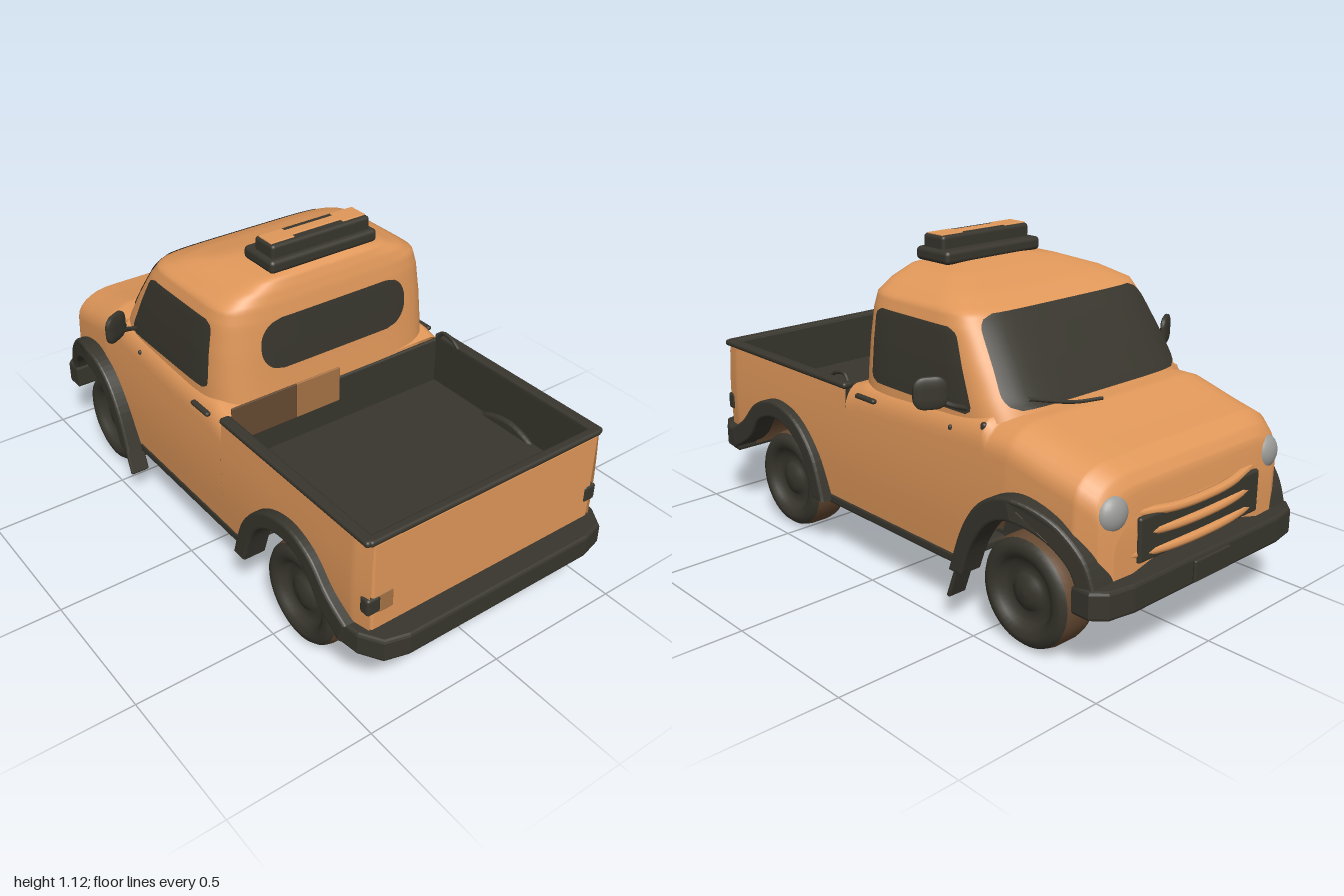
import * as THREE from 'three';
import { RoundedBoxGeometry } from 'three/addons/geometries/RoundedBoxGeometry.js';

const mat = (name, color) => new THREE.MeshStandardMaterial({ name, color, side: THREE.DoubleSide });
const paint = mat('orangePaint', 0xe1985a);
const dark = mat('darkTrim', 0x38362d);
const brown = mat('dustyBrown', 0x664a32);
const tan = mat('stainedTan', 0xa87447);
const lamp = mat('lampGrey', 0x9b9b98);

const lerp = THREE.MathUtils.lerp;
const SIDES = [1, -1];

// Linear lookup in rows of [key, value, value...]
function table(rows, k, col = 1) {
  if (k <= rows[0][0]) return rows[0][col];
  for (let i = 1; i < rows.length; i++) {
    const a = rows[i - 1], b = rows[i];
    if (k <= b[0]) return lerp(a[col], b[col], (k - a[0]) / (b[0] - a[0]));
  }
  return rows[rows.length - 1][col];
}

// Smooth surface from fn(u, v) -> [x, y, z], with u and v in 0..1
function grid(fn, nu, nv) {
  const pos = [], idx = [];
  for (let i = 0; i <= nu; i++) for (let j = 0; j <= nv; j++) {
    pos.push(...fn(i / nu, j / nv));
    if (i < nu && j < nv) {
      const a = i * (nv + 1) + j, b = a + nv + 1;
      idx.push(a, b, a + 1, b, b + 1, a + 1);
    }
  }
  const g = new THREE.BufferGeometry();
  g.setAttribute('position', new THREE.Float32BufferAttribute(pos, 3));
  g.setIndex(idx);
  g.computeVertexNormals();
  return g;
}

// Wheel arch outlines in side view, with the radius of the well behind
const ARCHES = [
  { x: -0.65, wellRadius: 0.26, spring: 0.2,
    outer: [[-0.94, 0.29], [-0.9, 0.385], [-0.8, 0.47], [-0.66, 0.503], [-0.54, 0.455], [-0.46, 0.35], [-0.4, 0.19]],
    inner: [[-0.885, 0.27], [-0.85, 0.345], [-0.77, 0.405], [-0.66, 0.43], [-0.57, 0.39], [-0.5, 0.3], [-0.455, 0.19]] },
  { x: 0.56, wellRadius: 0.235, spring: 0.27,
    outer: [[0.275, 0.19], [0.33, 0.345], [0.43, 0.45], [0.56, 0.487], [0.68, 0.45], [0.77, 0.365], [0.86, 0.31]],
    inner: [[0.335, 0.19], [0.385, 0.325], [0.46, 0.4], [0.56, 0.425], [0.66, 0.39], [0.735, 0.3], [0.84, 0.235]] },
];

// Lower body: top line, half width and bottom line, which follows the arches
const NOSE = -0.935, CAB_BACK = 0.17, TAIL = 0.915;
const topLine = [[NOSE, 0.47], [-0.925, 0.55], [-0.9, 0.59], [-0.85, 0.62], [-0.75, 0.642], [-0.6, 0.68], [-0.5, 0.68], [0.1, 0.65], [CAB_BACK, 0.63], [TAIL, 0.625]];
const widthLine = [[NOSE, 0.36], [-0.915, 0.4], [-0.85, 0.435], [-0.6, 0.455], [0.85, 0.455], [TAIL, 0.44]];
const bottomLine = ARCHES.flatMap(a => a.outer.map((p, i) => [(p[0] + a.inner[i][0]) / 2, (p[1] + a.inner[i][1]) / 2]));
const halfWidth = (x, y) => table(widthLine, x) + 0.012 * Math.sin(Math.PI * (y - 0.2) / 0.45);
const bottom = x => table(bottomLine, x);
// Half section: s runs 0 at the sill, 0.5 at the shoulder, 0.8 on top, 1 at the centre line
function section(x, s) {
  const t = table(topLine, x), b = bottom(x);
  const ry = Math.min(0.09, (t - b) * 0.5), rz = x < -0.5 ? 0.14 : 0.06;
  const w = halfWidth(x, t - ry);
  if (s < 0.5) {
    const y = lerp(b, t - ry, s / 0.5);
    return [x, y, halfWidth(x, y)];
  }
  if (s < 0.8) {
    const a = (s - 0.5) / 0.3 * Math.PI / 2;
    return [x, t - ry + ry * Math.sin(a), w - rz + rz * Math.cos(a)];
  }
  return [x, t, (w - rz) * (1 - s) / 0.2];
}
function fullSection(x, v) {
  const p = section(x, 1 - Math.abs(2 * v - 1));
  if (v > 0.5) p[2] *= -1;
  return p;
}

// Cab: rows of [height, front x, back x, half width]; each ring is a squarish superellipse
const cabRows = [[0.6, -0.6, 0.175, 0.44], [0.7, -0.545, 0.165, 0.435], [0.8, -0.48, 0.157, 0.425], [0.9, -0.41, 0.147, 0.41], [0.95, -0.37, 0.138, 0.395],
  [0.985, -0.28, 0.128, 0.34], [1.018, -0.15, 0.115, 0.25], [1.033, -0.06, 0.09, 0.14], [1.037, 0.02, 0.021, 0.001]];
function ring(y) {
  const f = table(cabRows, y, 1), b = table(cabRows, y, 2);
  return { c: (f + b) / 2, a: (b - f) / 2, w: table(cabRows, y, 3) };
}
const squircle = t => Math.pow(Math.max(0, 1 - Math.abs(t) ** 6), 1 / 6);
function cabPoint(u, v) {
  const i = v * (cabRows.length - 1), k = Math.min(Math.floor(i), cabRows.length - 2);
  const y = lerp(cabRows[k][0], cabRows[k + 1][0], i - k), r = ring(y);
  const p = t => Math.sign(t) * Math.abs(t) ** (1 / 3), a = u * Math.PI * 2;
  return [r.c + r.a * p(Math.cos(a)), y, r.w * p(Math.sin(a))];
}
// Round-cornered pane laid on the cab; edges(v) gives its two ends, place puts it on the wall
function pane(y0, y1, edges, place, r = 0.05) {
  return grid((u, v) => {
    const y = lerp(y0, y1, v), d = Math.min(y - y0, y1 - y, r);
    const inset = r - Math.sqrt(Math.max(0, r * r - (r - d) ** 2));
    const [a, b] = edges(v);
    return place(lerp(a + inset, b - inset, u), y);
  }, 20, 20);
}

export function createModel() {
  const model = new THREE.Group();
  model.name = 'pickupTruck';
  const add = (name, geo, m, x = 0, y = 0, z = 0) => {
    const mesh = new THREE.Mesh(geo, m);
    mesh.name = name;
    mesh.position.set(x, y, z);
    model.add(mesh);
    return mesh;
  };
  const box = (name, m, sx, sy, sz, x, y, z, r = 0.01) =>
    add(name, new RoundedBoxGeometry(sx, sy, sz, 3, Math.min(r, sx / 2.1, sy / 2.1, sz / 2.1)), m, x, y, z);
  const rod = (name, m, pts, r) => add(name, new THREE.TubeGeometry(
    new THREE.CatmullRomCurve3(pts.map(p => new THREE.Vector3(...p))), 20, r, 8), m);

  // Body shell
  add('frontBody', grid((u, v) => fullSection(lerp(NOSE, CAB_BACK, u ** 1.4), v), 100, 44), paint);
  add('nose', grid((u, v) => {
    const p = fullSection(NOSE, v);
    return [NOSE - 0.01 * (1 - u * u), lerp(0.38, p[1], u), p[2] * u];
  }, 6, 44), paint);
  for (const s of SIDES) add('bedSide', grid((u, v) => {
    const x = lerp(CAB_BACK, TAIL, u), y = lerp(bottom(x), 0.625, v);
    return [x, y, s * halfWidth(x, y)];
  }, 70, 10), paint);
  box('tailgate', paint, 0.025, 0.33, 0.89, 0.903, 0.46, 0);
  add('cab', grid(cabPoint, 96, 32), paint);

  // Windows
  add('windscreen', pane(0.69, 0.945, v => [-lerp(0.39, 0.355, v), lerp(0.39, 0.355, v)], (z, y) => {
    const r = ring(y);
    return [r.c - r.a * squircle(z / r.w) - 0.006, y + 0.002, z];
  }), dark);
  add('rearWindow', pane(0.73, 0.905, () => [-0.29, 0.29], (z, y) => {
    const r = ring(y);
    return [r.c + r.a * squircle(z / r.w) + 0.005, y, z];
  }, 0.08), dark);
  for (const s of SIDES) add('sideWindow', pane(0.67, 0.91, v => [lerp(-0.43, -0.32, v), 0.055], (x, y) => {
    const r = ring(y);
    return [x, y, s * (r.w * squircle((x - r.c) / r.a) + 0.005)];
  }, 0.03), dark);
  rod('wiper', dark, [[-0.6, 0.684, -0.06], [-0.575, 0.688, -0.16], [-0.535, 0.72, -0.31]], 0.006);

  // Load bed; its front wall is stained on the left half
  box('bedFloor', dark, 0.73, 0.02, 0.87, 0.54, 0.445, 0);
  for (const s of SIDES) {
    box('bedWall', dark, 0.74, 0.19, 0.015, 0.54, 0.535, s * 0.434);
    box('bedRim', dark, 0.745, 0.022, 0.04, 0.54, 0.627, s * 0.447);
  }
  box('bedFrontWall', dark, 0.015, 0.18, 0.87, 0.173, 0.53, 0);
  box('bedFrontDust', brown, 0.008, 0.13, 0.25, 0.18, 0.597, 0.3, 0.003);
  box('bedFrontStain', tan, 0.008, 0.13, 0.175, 0.18, 0.597, 0.0875, 0.003);
  box('bedRearWall', dark, 0.012, 0.19, 0.87, 0.886, 0.535, 0);
  box('bedRearRim', dark, 0.035, 0.022, 0.91, 0.9, 0.627, 0);
  rod('bedHook', dark, [[0.19, 0.63, -0.43], [0.21, 0.655, -0.43], [0.26, 0.65, -0.43], [0.29, 0.63, -0.43]], 0.007);

  // Bumpers, cut from a plan outline and mirrored about the centre line
  const bumper = (name, half, y, h) => {
    const pts = [...half, ...half.map(([x, z]) => [x, -z]).reverse()].map(p => new THREE.Vector2(...p));
    const g = new THREE.ExtrudeGeometry(new THREE.Shape(pts), { depth: h - 0.02, bevelSize: 0.01, bevelThickness: 0.01, bevelSegments: 2 });
    g.rotateX(-Math.PI / 2);
    add(name, g, dark, 0, y + 0.01, 0);
  };
  bumper('frontBumper', [[-0.88, 0.46], [-0.93, 0.46], [-0.965, 0.425], [-0.98, 0.34]], 0.21, 0.09);
  bumper('rearBumper', [[0.82, 0.485], [0.9, 0.475], [0.965, 0.435], [0.985, 0.36]], 0.23, 0.08);
  box('frontPlate', dark, 0.012, 0.07, 0.17, -0.994, 0.255, 0);

  // Grille with painted bars
  box('grille', dark, 0.02, 0.14, 0.56, -0.94, 0.395, 0, 0.009);
  [[0.46, 0.27], [0.405, 0.31], [0.345, 0.33]].forEach(([y, w]) =>
    rod('grilleBar', paint, [[-0.92, y + 0.012, -w], [-0.945, y, -w / 2], [-0.95, y - 0.004, 0], [-0.945, y, w / 2], [-0.92, y + 0.012, w]], 0.015));
  box('tailLightStain', tan, 0.008, 0.065, 0.05, 0.914, 0.4, 0.392, 0.003);
  for (const s of SIDES) {
    // Lamps and door fittings
    add('headlight', new THREE.SphereGeometry(0.058, 24, 16), lamp, -0.905, 0.49, s * 0.355).scale.set(0.65, 1, 1);
    box('tailLight', dark, 0.04, 0.06, 0.05, 0.9, 0.4, s * 0.438);
    box('doorHandle', dark, 0.1, 0.016, 0.02, 0.055, 0.613, s * 0.463);
    box('hinge', dark, 0.022, 0.03, 0.02, -0.48, 0.65, s * 0.437);
    box('doorCatch', dark, 0.014, 0.016, 0.02, -0.35, 0.62, s * 0.452);

    // Mirrors
    const m = box('mirror', dark, 0.1, 0.1, 0.105, -0.355, 0.745, s * 0.535, 0.035);
    m.scale.x = 0.25;
    m.rotation.y = s * 0.5;
    rod('mirrorArm', dark, [[-0.4, 0.685, s * 0.43], [-0.39, 0.7, s * 0.47], [-0.36, 0.72, s * 0.51]], 0.008);

    // Sills and mud flaps
    box('sill', dark, 0.7, 0.035, 0.04, -0.055, 0.195, s * 0.44);
    box('mudFlap', dark, 0.014, 0.16, 0.07, -0.42, 0.17, s * 0.475, 0.006).rotation.z = 0.35;
    box('chassisRail', dark, 1.56, 0.05, 0.04, 0, 0.21, s * 0.22);
  }

  // Wheel arches, wells and wheels
  const outer = [[0, 0.062], [0.03, 0.06], [0.058, 0.048], [0.064, 0.035], [0.1, 0.04], [0.112, 0.062], [0.135, 0.075], [0.158, 0.07], [0.171, 0.055]];
  const tread = [[0.171, 0.055], [0.177, 0.03], [0.177, -0.03], [0.171, -0.055]];
  const inner = [[0.171, -0.055], [0.14, -0.072], [0.11, -0.05], [0, -0.045]];
  const vecs = p => p.map(q => new THREE.Vector2(...q));
  ARCHES.forEach((arch, i) => {
    const x = arch.x, out = vecs(arch.outer), back = vecs(arch.inner).reverse();
    for (const s of SIDES) {
      const shape = new THREE.Shape().moveTo(out[0].x, out[0].y);
      shape.splineThru(out.slice(1)).lineTo(back[0].x, back[0].y).splineThru(back.slice(1));
      const g = new THREE.ExtrudeGeometry(shape, { depth: 0.07, curveSegments: 5, bevelSize: 0.01, bevelOffset: -0.01, bevelThickness: 0.01, bevelSegments: 3 });
      const p = g.attributes.position;
      // Front arches sweep inward toward the nose
      for (let k = 0; k < p.count; k++) p.setZ(k, p.getZ(k) + (i ? -0.01 : 0.005 - 0.22 * Math.max(0, -0.67 - p.getX(k))));
      g.computeVertexNormals();
      add('wheelArch', g, dark, 0, 0, s * 0.43).scale.z = s;
      const R = arch.wellRadius;
      const well = new THREE.CylinderGeometry(R, R, 0.16, 32, 1, true, -Math.PI / 2 + 0.25, Math.PI - 0.5);
      well.rotateX(-Math.PI / 2);
      add('wheelWell', well, brown, x, 0.195, s * 0.355);
      add('wellWall', new THREE.CircleGeometry(R, 32, 0, Math.PI), dark, x, 0.195, s * 0.277);
      for (const [name, prof, m] of [['wheelFace', outer, dark], ['tyreTread', tread, brown], ['wheelBack', inner, dark]])
        add(name, new THREE.LatheGeometry(vecs(prof), 40), m, x, 0.177, s * 0.375).rotation.x = s * Math.PI / 2;
      // Leaf springs
      rod('leafSpring', dark, [[x - arch.spring, 0.2, s * 0.26], [x, 0.145, s * 0.26], [x + 0.28, 0.21, s * 0.26]], 0.016);
    }
    add('axle', new THREE.CylinderGeometry(0.025, 0.025, 0.7, 14), dark, x, 0.17, 0).rotation.x = Math.PI / 2;
  });

  // Underside
  box('floorPan', dark, 1.76, 0.03, 0.55, -0.01, 0.235, 0);
  box('midFloor', dark, 0.7, 0.03, 0.87, -0.055, 0.215, 0);
  add('differential', new THREE.SphereGeometry(0.065, 20, 14), dark, 0.56, 0.168, 0);
  rod('driveShaft', dark, [[-0.4, 0.19, 0], [0.1, 0.185, 0], [0.56, 0.17, 0]], 0.02);
  box('gearbox', dark, 0.4, 0.1, 0.16, -0.5, 0.19, 0, 0.04);
  rod('exhaust', dark, [[-0.45, 0.19, 0.14], [0, 0.19, 0.16], [0.4, 0.195, 0.17], [0.8, 0.21, 0.16]], 0.018);
  rod('steeringRod', dark, [[-0.73, 0.15, -0.3], [-0.74, 0.14, 0], [-0.73, 0.15, 0.3]], 0.012);

  // Roof box with a painted top, narrow in the middle
  box('roofBoxBase', dark, 0.16, 0.045, 0.42, 0.02, 1.05, 0, 0.015);
  box('roofBox', dark, 0.1, 0.065, 0.385, 0.03, 1.083, 0, 0.012);
  box('roofBoxTop', paint, 0.04, 0.008, 0.2, 0.028, 1.115, 0, 0.003);
  for (const s of SIDES) box('roofBoxEnd', paint, 0.072, 0.008, 0.09, 0.028, 1.115, s * 0.14, 0.003);
  return model;
}
